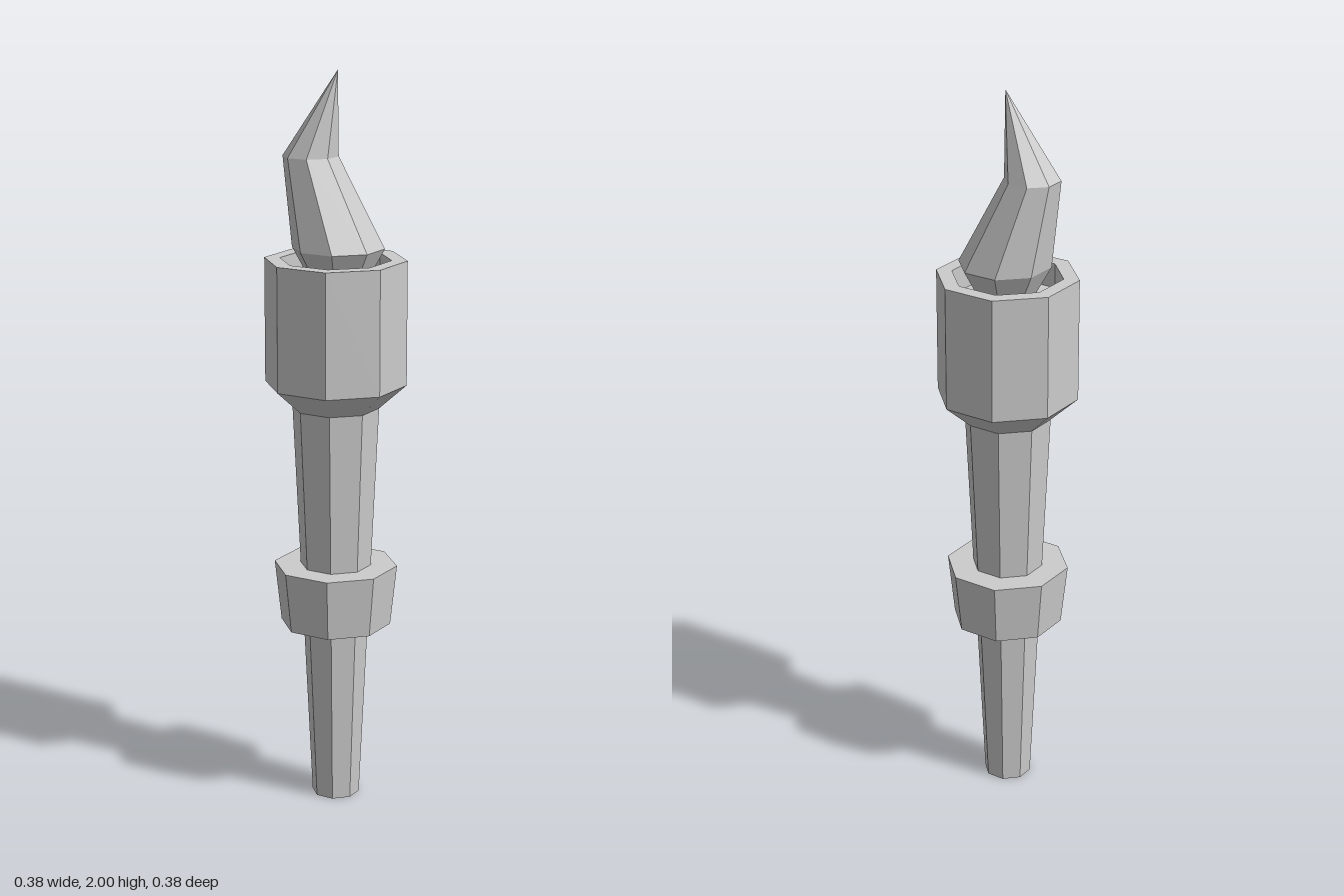
import * as THREE from 'three';

const SIDES = 8;
const material = new THREE.MeshStandardMaterial({ color: 0xcccccc, flatShading: true });

// Eight-sided turned part from [radius, y] pairs, listed bottom to top on the outside
function turned(name, profile) {
  const points = profile.map(([r, y]) => new THREE.Vector2(r, y));
  const mesh = new THREE.Mesh(new THREE.LatheGeometry(points, SIDES), material);
  mesh.name = name;
  return mesh;
}

// Turned part whose cross-sections are slid sideways: rows of [radius, y, x, z]
function bent(name, sections) {
  const mesh = turned(name, sections);
  const pos = mesh.geometry.attributes.position;
  for (let i = 0; i < pos.count; i++) {
    const [, , dx, dz] = sections[i % sections.length];
    pos.setX(i, pos.getX(i) + dx);
    pos.setZ(i, pos.getZ(i) + dz);
  }
  mesh.geometry.computeVertexNormals();
  return mesh;
}

export function createModel() {
  const torch = new THREE.Group();
  torch.name = 'torch';

  // Tapered handle, closed at the foot
  torch.add(turned('handle', [[0, 0], [0.065, 0], [0.117, 1.11]]));

  // Collar around the handle
  torch.add(turned('collar', [[0.08, 0.5], [0.15, 0.5], [0.168, 0.667], [0.09, 0.667]]));

  // Cup with a flared underside and a recessed top
  torch.add(turned('cup', [
    [0.1, 1.107], [0.117, 1.107], [0.19, 1.172], [0.19, 1.507],
    [0.148, 1.507], [0.148, 1.44], [0, 1.44],
  ]));

  // Flame leaning to one side, with its tip back over the middle
  torch.add(bent('flame', [
    [0, 1.44, 0.005, -0.005],
    [0.07, 1.44, 0.005, -0.005],
    [0.123, 1.537, 0.005, -0.005],
    [0.074, 1.775, -0.058, 0.038],
    [0, 2, 0.004, -0.004],
  ]));

  return torch;
}
